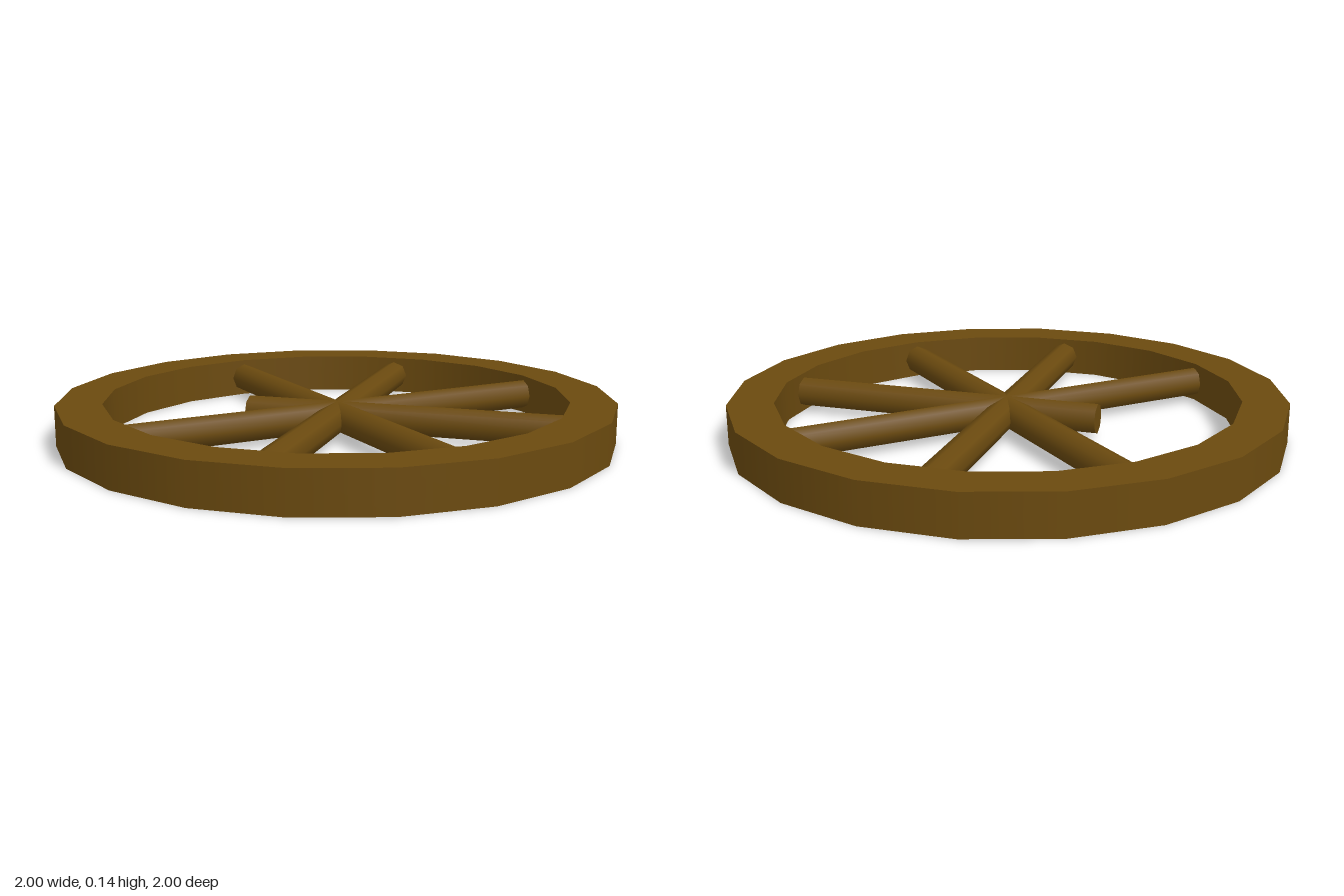
import * as THREE from 'three';
import { mergeGeometries } from 'three/addons/utils/BufferGeometryUtils.js';

const HEIGHT = 0.145, OUTER = 1, INNER = 0.835;
const SPOKE_RADIUS = 0.055, SPOKE_LENGTH = 0.87, BROKEN_LENGTH = 0.34;

// 20-sided rim: each wall is its own lathe so the rim edges stay sharp
function rimGeometry() {
  const corners = [[OUTER, 0], [OUTER, HEIGHT], [INNER, HEIGHT], [INNER, 0]]
    .map(([r, y]) => new THREE.Vector2(r, y));
  return mergeGeometries(corners.map((p, i) =>
    new THREE.LatheGeometry([p, corners[(i + 1) % 4]], 20)));
}

// Round bar running from the hub along +x
function spokeGeometry(length) {
  const geometry = new THREE.CylinderGeometry(SPOKE_RADIUS, SPOKE_RADIUS, length, 8);
  geometry.rotateZ(-Math.PI / 2);
  geometry.translate(length / 2, 0, 0);
  return geometry;
}

export function createModel() {
  const wheel = new THREE.Group();
  wheel.name = 'wheel';
  const wood = new THREE.MeshStandardMaterial({ color: 0x6b4a0f });

  const rim = new THREE.Mesh(rimGeometry(), wood);
  rim.name = 'rim';
  wheel.add(rim);

  // Eight spokes, the one towards the back right snapped short
  const spokes = new THREE.Group();
  spokes.name = 'spokes';
  spokes.position.set(0, HEIGHT / 2, 0.01);
  const whole = spokeGeometry(SPOKE_LENGTH);
  const broken = spokeGeometry(BROKEN_LENGTH);
  for (let i = 0; i < 8; i++) {
    const isBroken = i === 3;
    const spoke = new THREE.Mesh(isBroken ? broken : whole, wood);
    spoke.name = isBroken ? 'brokenSpoke' : 'spoke';
    spoke.rotation.y = i * Math.PI / 4;
    spokes.add(spoke);
  }
  wheel.add(spokes);
  return wheel;
}
